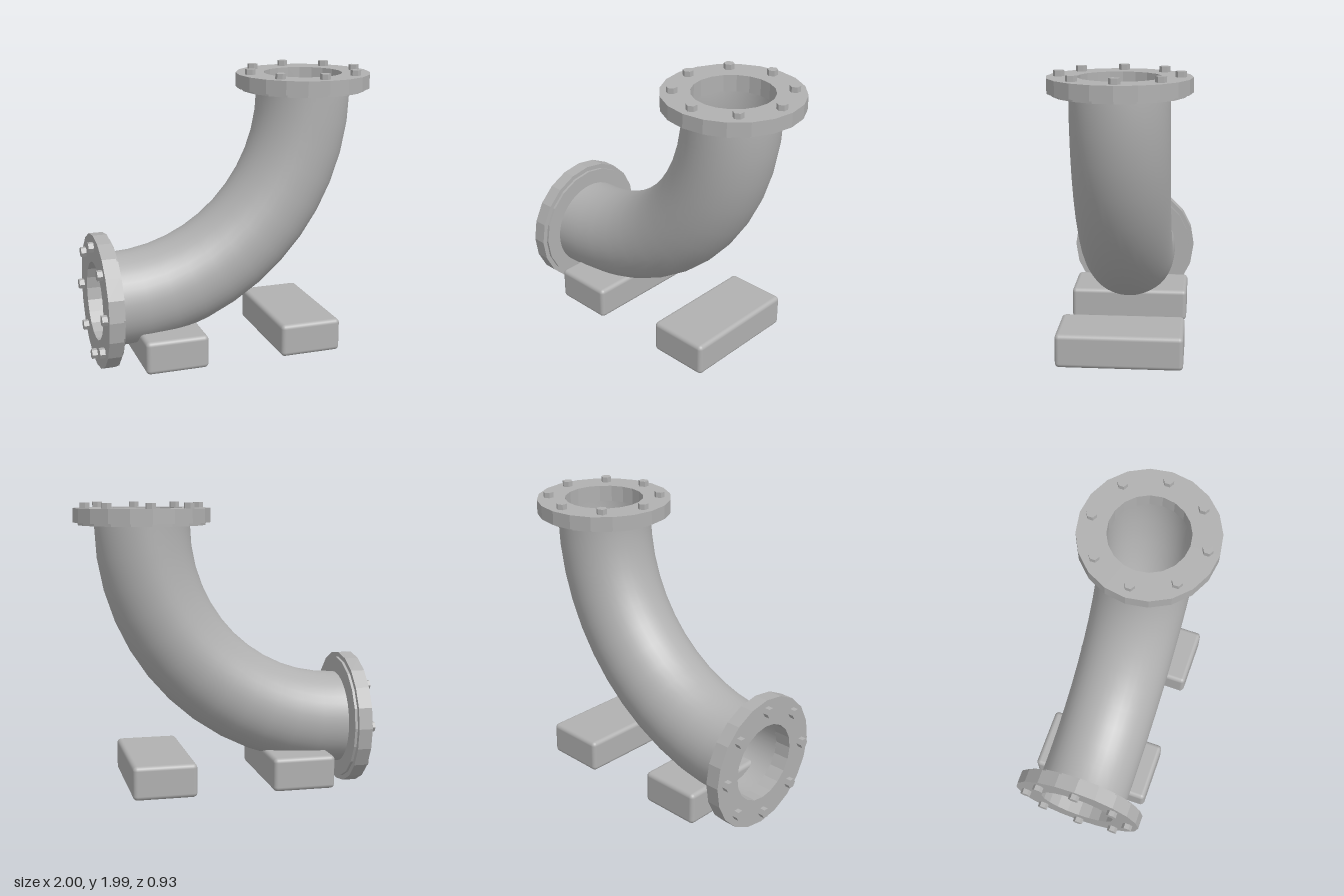
import * as THREE from 'three';
import { RoundedBoxGeometry } from 'three/addons/geometries/RoundedBoxGeometry.js';

const BEND = 1.38; // centreline radius of the elbow
const END = 1.85; // height of the upper pipe end
const AXIS_X = 0.537, AXIS_Y = 0.47;

export function createModel() {
  const model = new THREE.Group();
  model.name = 'pipeElbow';
  const steel = new THREE.MeshStandardMaterial({ color: 0xb0b0b0, side: THREE.DoubleSide });
  steel.name = 'grey steel';

  function add(parent, name, geometry, x = 0, y = 0, z = 0) {
    const mesh = new THREE.Mesh(geometry, steel);
    mesh.name = name;
    mesh.position.set(x, y, z);
    parent.add(mesh);
    return mesh;
  }

  function faceted(geometry) {
    const flat = geometry.toNonIndexed();
    flat.computeVertexNormals();
    return flat;
  }

  // Hollow quarter-turn pipe: outer and inner walls
  function wall(radius) {
    return new THREE.TorusGeometry(BEND, radius, 40, 12, Math.PI / 2).rotateZ(-Math.PI / 2);
  }
  const cx = AXIS_X - BEND;
  add(model, 'pipeOuterWall', wall(0.322), cx, END);
  add(model, 'pipeInnerWall', wall(0.275), cx, END);

  // Bolted flange, built upright with its base at the pipe end
  const profile = [
    [0.27, 0], [0.43, 0], [0.43, 0.018], [0.463, 0.018],
    [0.463, 0.113], [0.27, 0.113], [0.27, 0],
  ].map(([r, y]) => new THREE.Vector2(r, y));
  const ringGeometry = faceted(new THREE.LatheGeometry(profile, 20));
  const boltGeometry = faceted(new THREE.CylinderGeometry(0.036, 0.036, 0.047, 6));

  function flange(name) {
    const group = new THREE.Group();
    group.name = name;
    add(group, 'flangeRing', ringGeometry);
    for (let i = 0; i < 8; i++) {
      const a = (i * Math.PI) / 4;
      add(group, 'bolt', boltGeometry, 0.383 * Math.cos(a), 0.1265, 0.383 * Math.sin(a));
    }
    model.add(group);
    return group;
  }
  flange('topFlange').position.set(AXIS_X, END, 0);
  const side = flange('sideFlange');
  side.position.set(-0.85, AXIS_Y, 0);
  side.rotation.z = Math.PI / 2;

  // Rounded support blocks
  for (const [name, x] of [['supportUnderPipe', -0.497], ['supportBlock', 0.461]]) {
    add(model, name, new RoundedBoxGeometry(0.433, 0.23, 0.846, 3, 0.03), x, 0.172, 0);
  }
  return model;
}
